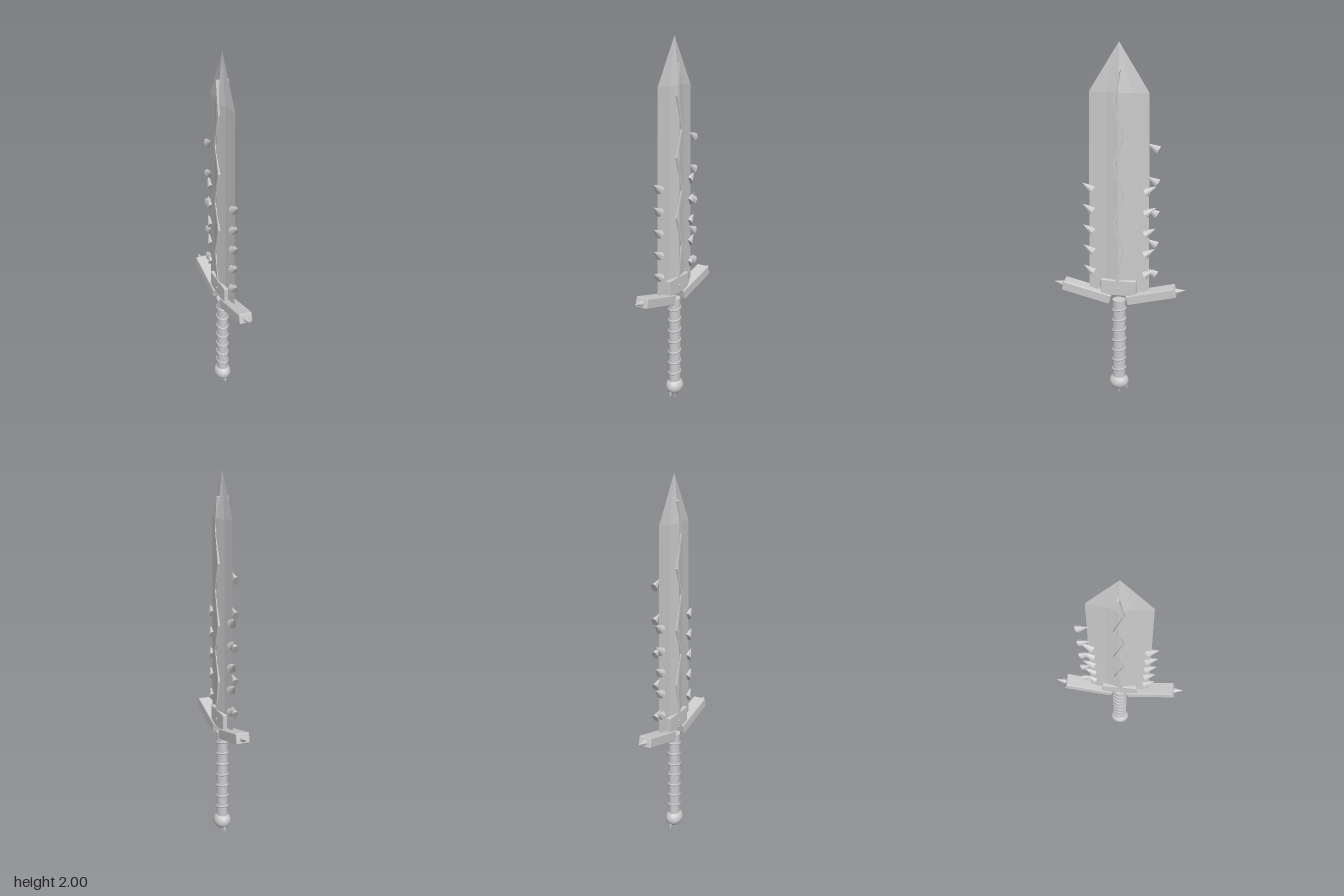
import * as THREE from 'three';
import { RoundedBoxGeometry } from 'three/addons/geometries/RoundedBoxGeometry.js';

const steel = new THREE.MeshStandardMaterial({ color: 0xcccccc });
steel.name = 'steel grey';
const UP = new THREE.Vector3(0, 1, 0);

function add(parent, name, geometry, x = 0, y = 0, z = 0) {
  const mesh = new THREE.Mesh(geometry, steel);
  mesh.name = name;
  mesh.position.set(x, y, z);
  parent.add(mesh);
  return mesh;
}

// Cone from a base centre to a tip, both given as [y, z] in the x = 0 plane
function spike(parent, name, base, tip, radius, flat = 1) {
  const a = new THREE.Vector3(0, ...base), b = new THREE.Vector3(0, ...tip);
  const dir = b.clone().sub(a);
  const geo = new THREE.ConeGeometry(radius, dir.length(), 8).toNonIndexed();
  geo.computeVertexNormals();
  const mesh = add(parent, name, geo);
  mesh.position.copy(a).add(b).multiplyScalar(0.5);
  mesh.quaternion.setFromUnitVectors(UP, dir.normalize());
  mesh.scale.x = flat;
  return mesh;
}

// Hollow-ground blade lofted through a few cross-sections
function bladeGeometry() {
  const q = [[0.03, 0], [0.022, 0.03], [0.012, 0.07], [0, 0.165]];
  const ring = [
    ...q,
    ...q.slice(0, 3).reverse().map(([x, z]) => [-x, z]),
    ...q.slice(1).map(([x, z]) => [-x, -z]),
    ...q.slice(1, 3).reverse().map(([x, z]) => [x, -z]),
  ];
  // height, thickness scale, width scale
  const sections = [[0.68, 1, 1], [1.76, 0.95, 0.91], [2, 0, 0]];
  const n = ring.length, pos = [];
  const at = (s, i) => {
    const [y, sx, sz] = sections[s], [x, z] = ring[i % n];
    return [x * sx, y, z * sz];
  };
  for (let i = 0; i < n; i++) {
    pos.push(0, 0.68, 0, ...at(0, i), ...at(0, i + 1));
    for (let s = 0; s < 2; s++) {
      pos.push(...at(s, i), ...at(s + 1, i), ...at(s, i + 1));
      if (s === 0) pos.push(...at(0, i + 1), ...at(1, i), ...at(1, i + 1));
    }
  }
  const geo = new THREE.BufferGeometry();
  geo.setAttribute('position', new THREE.Float32BufferAttribute(pos, 3));
  geo.computeVertexNormals();
  return geo;
}

export function createModel() {
  const sword = new THREE.Group();
  sword.name = 'spikedSword';
  add(sword, 'blade', bladeGeometry());

  // Jagged rib running through the middle of the blade
  const rib = [[1.87, -0.005], [1.71, 0.02], [1.54, -0.022], [1.4, 0.022], [1.22, -0.024],
    [1.08, 0.022], [0.92, -0.024], [0.74, 0.01]];
  for (let i = 0; i < rib.length - 1; i++) {
    const [y0, z0] = rib[i], [y1, z1] = rib[i + 1];
    const length = Math.hypot(y1 - y0, z1 - z0);
    const bar = add(sword, 'bladeRib', new THREE.BoxGeometry(0.066, length, 0.011),
      0, (y0 + y1) / 2, (z0 + z1) / 2);
    bar.rotation.x = Math.atan2(z0 - z1, y0 - y1);
  }

  // Outward barbs on both edges
  for (const y of [1.25, 1.133, 1.017, 0.9, 0.78]) {
    for (const s of [1, -1]) spike(sword, 'edgeBarb', [y, s * 0.14], [y + 0.037, s * 0.195], 0.025);
  }
  // Flared barbs on the back edge, wide end outward
  for (let i = 0; i < 5; i++) {
    const y = 1.475 - i * 0.1725;
    spike(sword, 'flaredBarb', [y, -0.2], [y + 0.035, -0.142], 0.025, 0.65);
  }

  // Guard: centre block with studs, two raised arms with end spikes
  add(sword, 'guardBlock', new RoundedBoxGeometry(0.06, 0.095, 0.195, 1, 0.006), 0, 0.7025, 0);
  for (const s of [1, -1]) {
    const stud = add(sword, 'guardStud', new THREE.ConeGeometry(0.008, 0.008, 8), s * 0.033, 0.7, 0);
    stud.rotation.z = -s * Math.PI / 2;
    const arm = add(sword, 'guardArm', new RoundedBoxGeometry(0.074, 0.056, 0.275, 1, 0.006),
      0, 0.663, s * 0.177);
    arm.rotation.x = -s * 0.25;
    spike(sword, 'guardSpike', [0.692, s * 0.3], [0.705, s * 0.365], 0.02);
  }

  // Oval grip with slightly tilted binding rings
  const grip = add(sword, 'grip', new THREE.CylinderGeometry(0.037, 0.037, 0.5, 16), 0, 0.37, 0);
  grip.scale.x = 0.85;
  for (let i = 0; i < 7; i++) {
    const ring = add(sword, 'gripRing', new THREE.TorusGeometry(0.037, 0.006, 6, 20),
      0, 0.18 + i * 0.064, 0);
    ring.rotation.x = Math.PI / 2 + 0.15;
    ring.scale.x = 0.85;
  }

  // Pommel with three claws underneath
  const pommel = add(sword, 'pommel', new THREE.SphereGeometry(0.048, 20, 14), 0, 0.09, 0);
  pommel.scale.z = 1.18;
  spike(sword, 'pommelSpike', [0.053, 0], [0, 0], 0.018);
  for (const s of [1, -1]) spike(sword, 'pommelClaw', [0.075, s * 0.036], [0.03, s * 0.049], 0.015);
  return sword;
}
